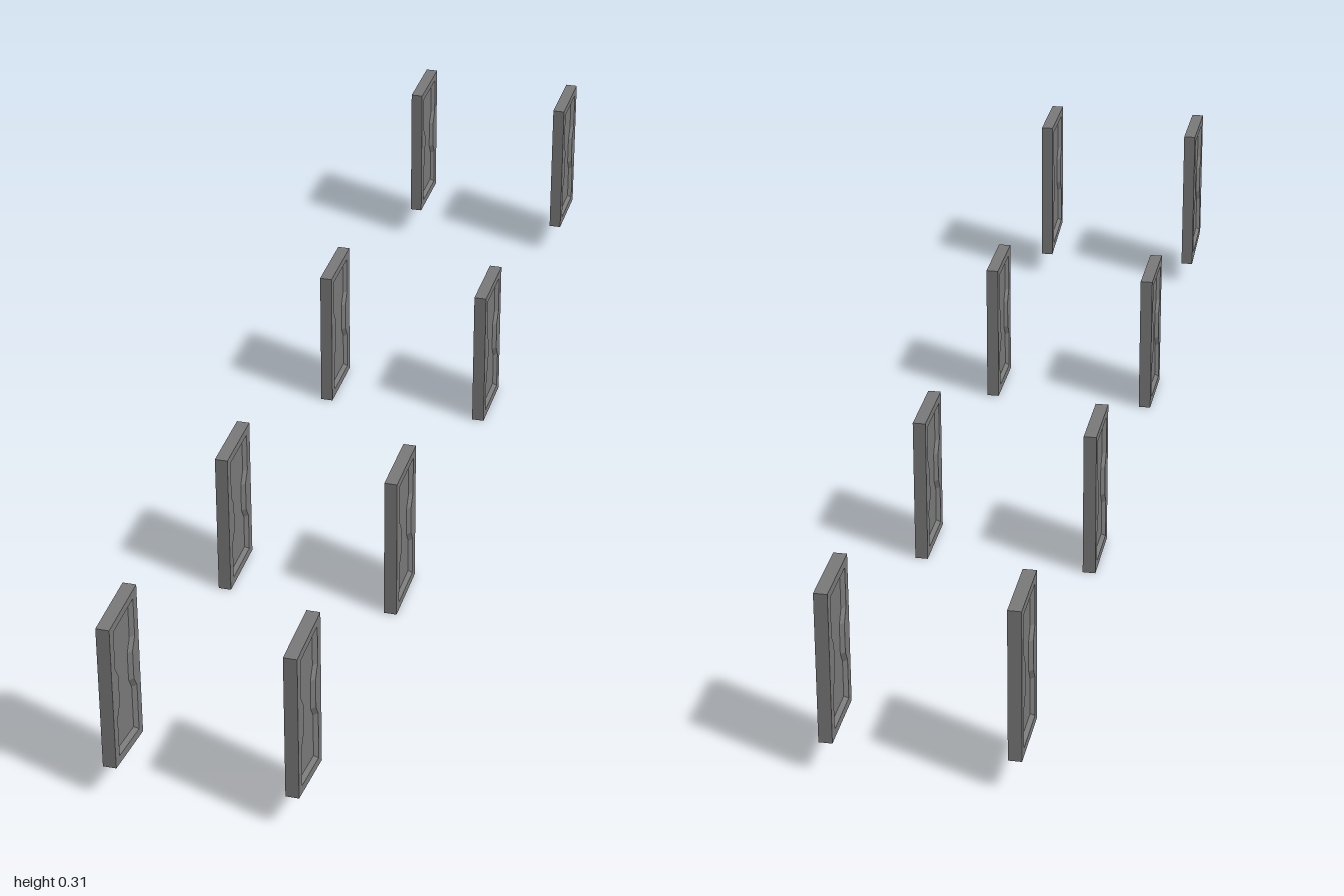
import * as THREE from 'three';

const HALF_T = 0.0105; // half thickness of a panel
const DEPTH = 0.006;   // depth of the recess on each face
const HALF_W = 0.0615; // half width of a panel

// Closed outline of 12 points (z, y), six rows up one side and down the other.
function outline(halfW, waistW, inset, height, slope) {
  const rows = [
    [halfW, null], [halfW, height - 0.17], [waistW, height - 0.15],
    [waistW, height - 0.1], [halfW, height - 0.08], [halfW, height - inset],
  ];
  const side = (s) => rows.map(([w, y]) => [s * w, y === null ? inset + slope * (s * w + HALF_W) : y]);
  return [...side(1), ...side(-1).reverse()];
}

// Slab with a waisted, bevelled recess on both faces, skinned through cross-sections.
function panelGeometry(height, slope) {
  const outer = outline(HALF_W, HALF_W, 0, height, slope);
  const rim = outline(0.0445, 0.0325, 0.014, height, slope);
  const floor = outline(0.0375, 0.0255, 0.021, height, slope);
  const loops = [
    [-HALF_T + DEPTH, floor], [-HALF_T, rim], [-HALF_T, outer],
    [HALF_T, outer], [HALF_T, rim], [HALF_T - DEPTH, floor],
  ];
  const pos = [];
  const at = (k, i) => [loops[k][0], loops[k][1][i % 12][1], loops[k][1][i % 12][0]];
  const quad = (a, b, c, d) => pos.push(...a, ...b, ...c, ...a, ...c, ...d);
  for (let k = 0; k < 5; k++) {
    for (let i = 0; i < 12; i++) quad(at(k, i), at(k + 1, i), at(k + 1, i + 1), at(k, i + 1));
  }
  // Recess floors, strip by strip between the two sides
  for (let i = 0; i < 5; i++) {
    quad(at(5, i), at(5, 11 - i), at(5, 10 - i), at(5, i + 1));
    quad(at(0, 11 - i), at(0, i), at(0, i + 1), at(0, 10 - i));
  }
  const g = new THREE.BufferGeometry();
  g.setAttribute('position', new THREE.Float32BufferAttribute(pos, 3));
  g.computeVertexNormals();
  return g;
}

export function createModel() {
  const group = new THREE.Group();
  const grey = new THREE.MeshStandardMaterial({ color: 0x7a7a7a });
  grey.name = 'panel grey';

  // name, centre z, bottom y, height, rise of the bottom edge per unit z
  const panels = [
    ['frontPanel', 0.9385, 0.04, 0.269, 0.165],
    ['frontMiddlePanel', 0.3615, 0, 0.25, 0],
    ['rearMiddlePanel', -0.2695, 0, 0.25, 0],
    ['rearPanel', -0.9385, 0.055, 0.25, 0],
  ];
  for (const [name, z, y, height, slope] of panels) {
    const geometry = panelGeometry(height, slope);
    for (const s of [1, -1]) {
      const mesh = new THREE.Mesh(geometry, grey);
      mesh.name = name + (s > 0 ? 'Left' : 'Right');
      mesh.position.set(s * 0.141, y, z);
      group.add(mesh);
    }
  }
  return group;
}
